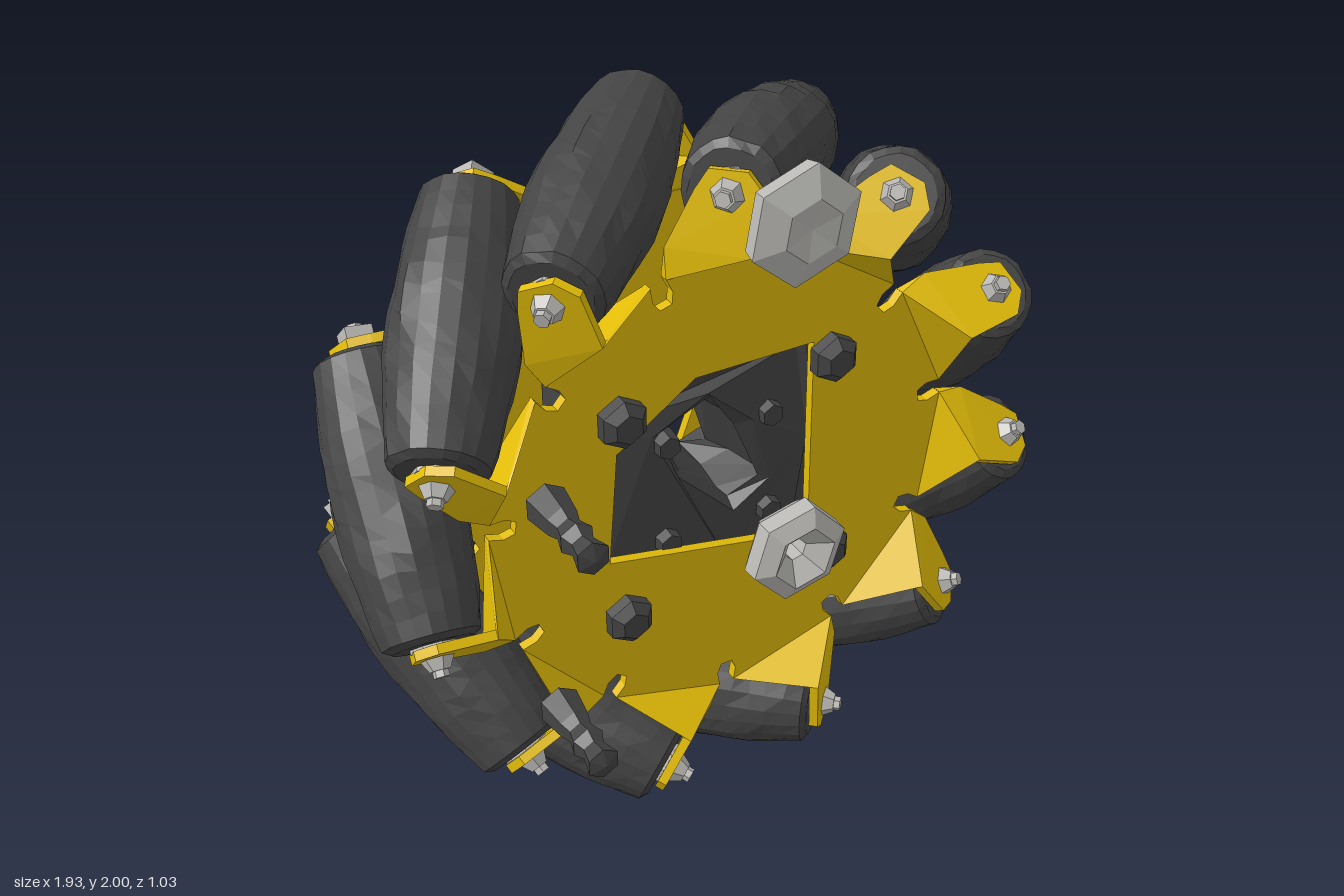
import * as THREE from 'three';

const COUNT = 11, STEP = (Math.PI * 2) / COUNT, PHASE = Math.PI / 2 - STEP / 2;
const AXIS_R = 0.808, OUTER_R = 0.966;
const V2 = (x, y) => new THREE.Vector2(x, y);
const flat = (name, color) => {
  const m = new THREE.MeshStandardMaterial({ color, flatShading: true });
  m.name = name;
  return m;
};

function mesh(parent, name, geometry, material, x = 0, y = 0, z = 0) {
  const m = new THREE.Mesh(geometry, material);
  m.name = name;
  m.position.set(x, y, z);
  parent.add(m);
  return m;
}

function group(parent, name) {
  const g = new THREE.Group();
  g.name = name;
  parent.add(g);
  return g;
}

// turned part, profile given as [radius, height] pairs
const turned = (profile, sides) => new THREE.LatheGeometry(profile.map(p => V2(...p)), sides);

// same, lying along z
const turnedZ = (profile, sides) => turned(profile, sides).rotateX(Math.PI / 2);

// shift every vertex by a rule depending only on its position
function roughen(g, rule) {
  const p = g.attributes.position;
  for (let i = 0; i < p.count; i++) p.setXYZ(i, ...rule(p.getX(i), p.getY(i), p.getZ(i)));
  g.computeVertexNormals();
  return g;
}

// flat plate with small slots round the rim and a central opening
function plateGeometry(hole) {
  const pts = [];
  for (let k = 0; k < COUNT; k++) {
    const a = PHASE + k * STEP;
    for (const [da, r] of [[-0.033, 0.661], [-0.045, 0.622], [-0.028, 0.592],
      [0.028, 0.592], [0.045, 0.622], [0.033, 0.661]])
      pts.push(V2(r * Math.cos(a + da), r * Math.sin(a + da)));
  }
  const shape = new THREE.Shape(pts);
  shape.holes.push(new THREE.Path(hole.map(p => V2(...p))));
  return new THREE.ExtrudeGeometry(shape, { depth: 0.028, bevelEnabled: false });
}

// folded tab: rows of left and right edge points, thickened along each row's normal;
// its outer half lies square to the roller axis
function tabGeometry() {
  const t = 0.025, n = [t * 0.199, t * 0.678, t * 0.707];
  const rows = [
    [[0.64, -0.166, 0.213], [0.64, 0.166, 0.213], [0, 0, t]],
    [[0.715, 0.015, 0.345], [0.72, 0.165, 0.203], n],
    [[0.86, -0.022, 0.341], [0.86, 0.097, 0.226], n],
    [[0.91, 0.002, 0.304], [0.91, 0.068, 0.24], n],
  ];
  const pos = [], index = [];
  rows.forEach(([l, r, off], i) => {
    const back = p => p.map((v, k) => v - off[k]);
    pos.push(...l, ...r, ...back(r), ...back(l));
    if (i === rows.length - 1) return;
    for (let j = 0; j < 4; j++) {
      const a = i * 4 + j, b = i * 4 + (j + 1) % 4;
      index.push(a, a + 4, b, a + 4, b + 4, b);
    }
  });
  const e = (rows.length - 1) * 4;
  index.push(e, e + 3, e + 2, e, e + 2, e + 1);
  const g = new THREE.BufferGeometry();
  g.setAttribute('position', new THREE.Float32BufferAttribute(pos, 3));
  g.setIndex(index);
  g.computeVertexNormals();
  return g;
}

// barrel roller with a rough, lumpy skin and flat ends
function rollerGeometry() {
  const half = 0.366, profile = [[0, -half], [0.1, -half]];
  for (let i = 0; i <= 14; i++) {
    const s = (i / 7 - 1) * (half - 0.014);
    profile.push([OUTER_R - Math.hypot(AXIS_R, s * Math.SQRT1_2), s]);
  }
  profile.push([0.1, half], [0, half]);
  return roughen(turned(profile, 20), (x, y, z) => {
    const k = 1 + 0.03 * Math.sin(x * 91 + y * 63) * Math.sin(z * 87 - y * 79 + 1);
    const calm = Math.max(0, 1 - Math.abs(y) / 0.35);
    return [x * k, y + 0.02 * calm * Math.sin(x * 90 + z * 70 + y * 40), z * k];
  });
}

export function createModel() {
  const yellow = flat('yellow metal', 0xe3bd08);
  const dark = flat('dark rubber', 0x444444);
  const silver = flat('silver steel', 0xbab9b5);

  const model = new THREE.Group();
  model.name = 'rollerWheel';
  const wheel = group(model, 'wheel');
  wheel.position.set(0, 0.969, -0.165);

  // side plates
  mesh(wheel, 'frontPlate', plateGeometry(
    [[-0.09, 0.35], [0.25, 0.35], [0.25, -0.24], [-0.34, -0.12], [-0.31, 0.2]]), yellow, 0, 0, 0.185);
  mesh(wheel, 'backPlate', plateGeometry(
    [[0.2, 0.17], [-0.3, 0.29], [-0.35, -0.27], [0, -0.35]]), yellow, 0, 0, -0.213);

  // rollers with their tabs, axles and fasteners
  const tab = tabGeometry(), roller = rollerGeometry();
  const axle = new THREE.CylinderGeometry(0.02, 0.02, 0.89, 6);
  const collar = new THREE.CylinderGeometry(0.062, 0.062, 0.02, 8);
  const nut = new THREE.CylinderGeometry(0.026, 0.042, 0.03, 6);
  const head = new THREE.BoxGeometry(0.07, 0.035, 0.07);
  for (let k = 0; k < COUNT; k++) {
    const sector = group(wheel, 'rollerUnit');
    sector.rotation.z = PHASE + k * STEP;
    mesh(sector, 'frontTab', tab, yellow).rotation.z = STEP / 2;
    const rear = group(sector, 'backTabMount');
    rear.rotation.x = Math.PI;
    mesh(rear, 'backTab', tab, yellow).rotation.z = STEP / 2;

    const spin = group(sector, 'roller');
    spin.position.x = AXIS_R;
    spin.rotation.x = Math.PI / 4;
    mesh(spin, 'rollerBody', roller, dark);
    mesh(spin, 'axle', axle, silver);
    mesh(spin, 'frontCollar', collar, silver, 0, 0.367, 0);
    mesh(spin, 'backCollar', collar, silver, 0, -0.367, 0);
    mesh(spin, 'axleNut', nut, silver, 0, 0.413, 0);
    mesh(spin, 'axleHead', head, silver, 0, -0.416, 0);
  }

  // jagged hub between the plates
  const hub = new THREE.Shape([[-0.36, -0.22], [0.02, -0.35], [0.29, -0.28], [0.3, 0.05], [0.28, 0.37],
    [-0.12, 0.37], [-0.35, 0.25]].map(p => V2(...p)));
  hub.holes.push(new THREE.Path([[-0.15, 0.17], [-0.03, 0.22], [0.06, 0.14], [0.12, -0.05],
    [0.04, -0.09], [-0.09, 0.04]].map(p => V2(...p))));
  const hubGeometry = new THREE.ExtrudeGeometry(hub, { depth: 0.2, steps: 2,
    bevelThickness: 0.06, bevelSize: 0.04, bevelOffset: -0.04, bevelSegments: 2 });
  mesh(wheel, 'hub', roughen(hubGeometry, (x, y, z) => [
    x + 0.015 * Math.sin(y * 37 + z * 50), y + 0.015 * Math.sin(x * 41 - z * 45),
    z + 0.02 * Math.sin(x * 29 + y * 33)]), dark, 0, 0, -0.105);

  // plate bolts and smaller hub bolts
  const post = turnedZ([[0, -0.2], [0.035, -0.2], [0.035, 0.2], [0, 0.2]], 6);
  const plateNut = turnedZ([[0, 0], [0.066, 0], [0.066, 0.035], [0.04, 0.06], [0, 0.06]], 6);
  const boltHead = new THREE.BoxGeometry(0.085, 0.085, 0.06);
  const hubBolt = turnedZ([[0, 0], [0.038, 0], [0.032, 0.06], [0, 0.06]], 6);
  for (const sx of [-1, 1]) for (const sy of [-1, 1]) {
    mesh(wheel, 'spacerPost', post, dark, sx * 0.3, sy * 0.3, 0);
    mesh(wheel, 'plateNut', plateNut, dark, sx * 0.3, sy * 0.3, 0.21);
    mesh(wheel, 'plateBoltHead', boltHead, dark, sx * 0.3, sy * 0.3, -0.235);
    mesh(wheel, 'hubBolt', hubBolt, dark, sx * 0.15, sy * 0.15, 0.13);
  }

  // detached nuts and bolts in front of the wheel
  mesh(model, 'looseNut', turnedZ([[0, -0.055], [0.085, -0.05], [0.135, -0.02], [0.145, 0.025],
    [0.075, 0.055], [0, 0.045]], 6), silver, -0.005, 1.857, 0.365).rotation.z = -0.18;
  mesh(model, 'centreNut', turnedZ([[0.03, -0.05], [0.1, -0.05], [0.132, -0.015], [0.13, 0.03],
    [0.085, 0.055], [0.03, 0.01], [0.03, -0.05]], 6), silver, 0, 0.98, 0.365).rotation.z = -0.3;
  const looseBolt = turnedZ([[0, -0.125], [0.054, -0.125], [0.042, -0.04], [0.032, -0.01],
    [0.044, 0.03], [0.03, 0.06], [0.043, 0.11], [0, 0.125]], 6);
  for (const y of [0.67, 1.27]) mesh(model, 'looseBolt', looseBolt, dark, -0.6, y, 0.395);

  return model;
}
